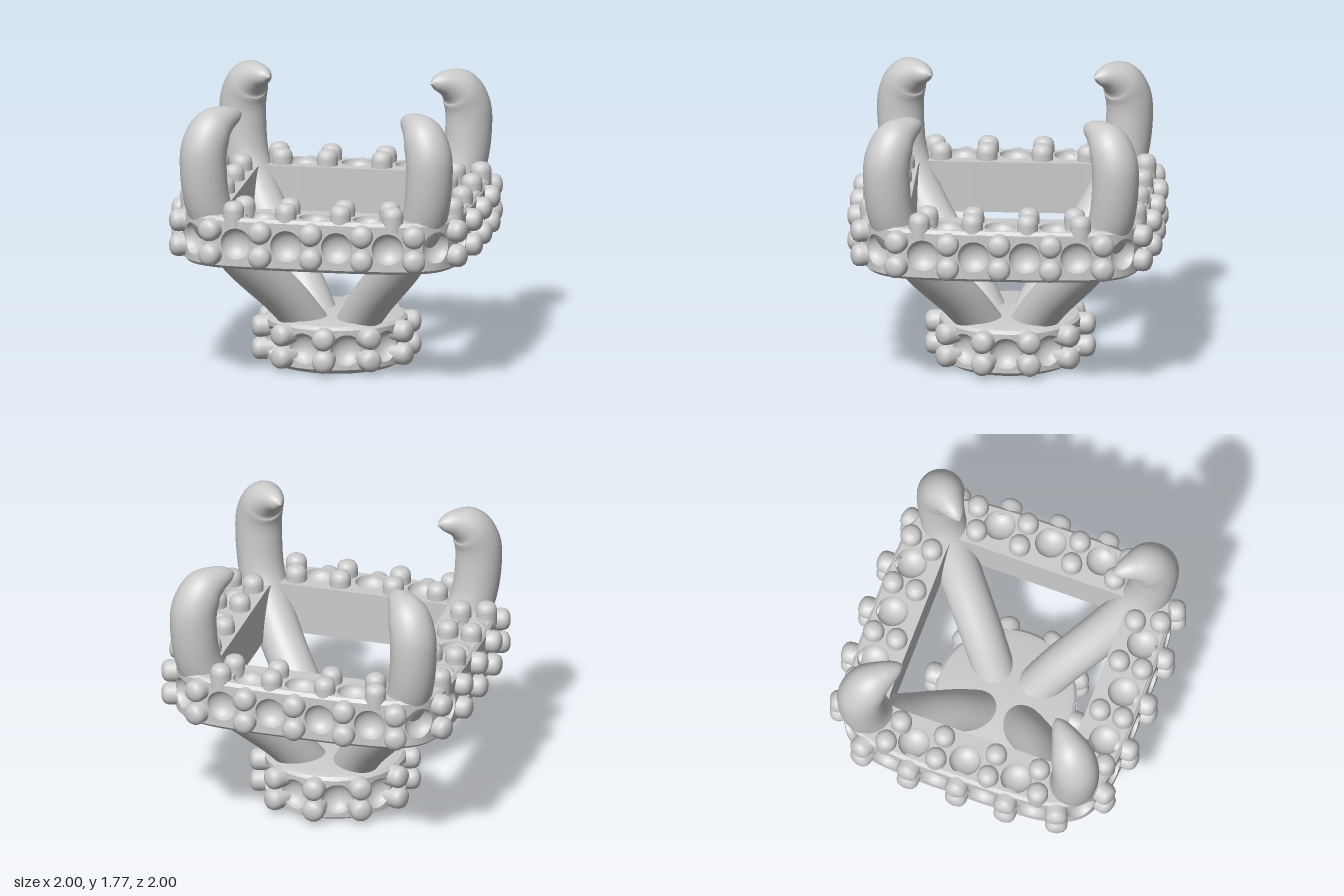
import * as THREE from 'three';
import { mergeGeometries, toCreasedNormals } from 'three/addons/utils/BufferGeometryUtils.js';

const solid = new THREE.MeshStandardMaterial({ color: 0xcccccc });
const shell = new THREE.MeshStandardMaterial({ color: 0xcccccc, side: THREE.DoubleSide });
const UP = new THREE.Vector3(0, 1, 0);
const BOWL_R = 0.1, BOWL_D = 0.075;

function mesh(name, geometry, material) {
  const m = new THREE.Mesh(geometry, material);
  m.name = name;
  return m;
}

// Surface through equal rows of points; each row closes on itself
function loft(rows) {
  const n = rows[0].length, index = [];
  for (let i = 0; i < rows.length - 1; i++) {
    for (let j = 0; j < n; j++) {
      const k = (j + 1) % n, a = i * n + j, b = i * n + k;
      index.push(a, b, b + n, a, b + n, a + n);
    }
  }
  const g = new THREE.BufferGeometry().setFromPoints(rows.flat());
  g.setIndex(index);
  return g;
}

// Closed outline with four-fold symmetry, from half of one side up to the corner
function squareOutline(half) {
  const quarter = [...half, ...half.slice(1, -1).reverse().map(([x, z]) => [z, x])];
  const pts = [];
  for (let q = 0; q < 4; q++) {
    for (let [x, z] of quarter) {
      for (let r = 0; r < q; r++) [x, z] = [z, -x];
      pts.push(new THREE.Vector3(x, 0, z));
    }
  }
  const curve = new THREE.CatmullRomCurve3(pts, true, 'centripetal');
  curve.arcLengthDivisions = 1200;
  return curve;
}

// Point on an outline, moved in by inset and up to y
const wrap = u => ((u % 1) + 1) % 1;
const outward = (curve, u) => curve.getTangentAt(wrap(u)).cross(UP).normalize();
function at(curve, u, y, inset = 0) {
  const p = curve.getPointAt(wrap(u)).addScaledVector(outward(curve, u), -inset);
  p.y = y;
  return p;
}
const ring = (curve, y, inset = 0, n = 240) =>
  Array.from({ length: n }, (_, i) => at(curve, i / n, y, inset));

// Wall divided into equal cells, each with a round hollow in its middle
function dimpledWall(curve, cells, y0, y1) {
  const n = 48, halfW = 0.5 / cells, halfH = (y1 - y0) / 2, mid = (y0 + y1) / 2;
  const length = curve.getLength(), parts = [];
  for (let c = 0; c < cells; c++) {
    const rows = [];
    for (let i = 0; i <= 9; i++) {
      const tilt = Math.min(i / 7, 1) * Math.PI / 2, out = Math.max(0, (i - 7) / 2);
      rows.push(Array.from({ length: n }, (_, j) => {
        const a = j / n * Math.PI * 2, cx = Math.cos(a), sy = Math.sin(a);
        const m = Math.max(Math.abs(cx), Math.abs(sy)), r = BOWL_R * Math.sin(tilt);
        const du = THREE.MathUtils.lerp(cx * r / length, cx / m * halfW, out);
        const dy = THREE.MathUtils.lerp(sy * r, sy / m * halfH, out);
        const depth = i < 7 ? BOWL_D * Math.cos(tilt) : 0;
        return at(curve, (c + 0.5) / cells + du, mid + dy, depth);
      }));
    }
    // rows run outwards, so flip them to face out
    parts.push(loft(rows.reverse()));
  }
  return toCreasedNormals(mergeGeometries(parts), 0.6);
}

// Short round stud with a softened end, along +y
const studGeometry = new THREE.LatheGeometry([
  [0.07, -0.05], [0.072, 0.035], [0.068, 0.058], [0.056, 0.076], [0.036, 0.086], [0.016, 0.09], [0, 0.09],
].map(([x, y]) => new THREE.Vector2(x, y)), 24);

function stud(name, position, direction) {
  const m = mesh(name, studGeometry, solid);
  m.position.copy(position);
  m.quaternion.setFromUnitVectors(UP, direction);
  return m;
}

function wallStuds(name, curve, count, heights) {
  const g = new THREE.Group();
  g.name = name;
  for (let i = 0; i < count; i++) {
    for (const y of heights) g.add(stud('stud', at(curve, i / count, y), outward(curve, i / count)));
  }
  return g;
}

function createFrame() {
  const g = new THREE.Group();
  g.name = 'frame';
  const outer = squareOutline([[0, 0.91], [0.35, 0.905], [0.63, 0.87], [0.785, 0.785]]);
  const inner = squareOutline([[0, 0.6], [0.3, 0.6], [0.5, 0.6], [0.55, 0.595], [0.58, 0.58]]);
  const [low, high, bevel] = [0.78, 1.11, 0.02];

  // Outer wall, underside with inner wall, and top bevel
  g.add(mesh('outerWall', dimpledWall(outer, 20, low + bevel, high - bevel), shell));
  g.add(mesh('underside', toCreasedNormals(loft([
    ring(inner, high), ring(inner, low), ring(outer, low, bevel), ring(outer, low + bevel),
  ]), 0.6), shell));
  g.add(mesh('topBevel', toCreasedNormals(loft([
    ring(outer, high - bevel), ring(outer, high, bevel),
  ]), 0.6), shell));

  // Top face with round holes and the bowls below them
  const flat = pts => pts.map(p => new THREE.Vector2(p.x, -p.z));
  const top = new THREE.Shape(flat(ring(outer, 0, bevel)));
  top.holes.push(new THREE.Path(flat(ring(inner, 0))));
  const bowl = new THREE.LatheGeometry(Array.from({ length: 9 }, (_, i) => {
    const a = i / 8 * Math.PI / 2;
    return new THREE.Vector2(BOWL_R * Math.sin(a), -BOWL_D * Math.cos(a));
  }), 32);
  for (let side = 0; side < 4; side++) {
    const turn = side * Math.PI / 2;
    const place = (x, z) => new THREE.Vector3(x, high, z).applyAxisAngle(UP, turn);
    for (const x of [-0.345, 0, 0.345]) {
      const p = place(x, 0.78);
      top.holes.push(new THREE.Path().absarc(p.x, -p.z, BOWL_R, 0, Math.PI * 2, true));
      const b = mesh('topBowl', bowl, shell);
      b.position.copy(p);
      g.add(b);
    }
    for (const s of [-1, 1]) {
      for (const [x, z] of [[0.175, 0.84], [0.51, 0.84], [0.175, 0.685], [0.465, 0.685]]) {
        const m = stud('topStud', place(s * x, z), UP);
        m.scale.set(0.94, 1.1, 0.94);
        g.add(m);
      }
    }
  }
  const topGeometry = new THREE.ShapeGeometry(top, 16).rotateX(-Math.PI / 2).translate(0, high, 0);
  g.add(mesh('topFace', topGeometry, shell));
  g.add(wallStuds('sideStuds', outer, 20, [0.87, 1.03]));
  return g;
}

function createBase() {
  const g = new THREE.Group();
  g.name = 'base';
  const circle = new THREE.CatmullRomCurve3(Array.from({ length: 40 }, (_, i) => {
    const a = i / 40 * Math.PI * 2;
    return new THREE.Vector3(0.45 * Math.sin(a), 0, 0.45 * Math.cos(a));
  }), true);
  circle.arcLengthDivisions = 800;
  const cap = (...rows) => toCreasedNormals(loft(rows.map(([y, inset]) => ring(circle, y, inset))), 0.5);
  g.add(mesh('baseWall', dimpledWall(circle, 10, 0.04, 0.295), shell));
  g.add(mesh('baseBottom', cap([0.005, 0.45], [0.005, 0.06], [0.04, 0]), shell));
  g.add(mesh('baseTop', cap([0.295, 0], [0.315, 0.02], [0.325, 0.06], [0.325, 0.45]), shell));
  g.add(wallStuds('baseStuds', circle, 10, [0.098, 0.243]));
  g.position.z = -0.015;
  return g;
}

// Curved claw in the plane of the +x +z diagonal: offset, height, radius
function clawGeometry() {
  const path = new THREE.CatmullRomCurve3([
    [0.11, 0.2, 0.13], [0.27, 0.46, 0.135], [0.53, 0.8, 0.14], [0.685, 1.1, 0.143], [0.725, 1.4, 0.148],
    [0.715, 1.54, 0.145], [0.672, 1.64, 0.13], [0.61, 1.685, 0.09], [0.545, 1.7, 0.045], [0.515, 1.7, 0.001],
  ].map(p => new THREE.Vector3(...p)), false, 'centripetal');
  const side = new THREE.Vector3(1, 0, -1).normalize(), rows = [];
  for (let i = 0; i <= 72; i++) {
    const p = path.getPoint(i / 72), t = path.getTangent(i / 72);
    const centre = new THREE.Vector3(p.x, p.y, p.x);
    const along = new THREE.Vector3(t.x, t.y, t.x).normalize();
    const normal = along.clone().cross(side);
    rows.push(Array.from({ length: 32 }, (_, j) => {
      const a = j / 32 * Math.PI * 2;
      return centre.clone().addScaledVector(side, Math.cos(a) * p.z).addScaledVector(normal, Math.sin(a) * p.z);
    }));
  }
  const g = loft(rows);
  g.computeVertexNormals();
  return g;
}

export function createModel() {
  const model = new THREE.Group();
  model.name = 'clawSetting';
  model.add(createBase(), createFrame());
  const claw = clawGeometry();
  for (let i = 0; i < 4; i++) {
    const m = mesh('claw', claw, shell);
    m.rotation.y = i * Math.PI / 2;
    model.add(m);
  }
  return model;
}
